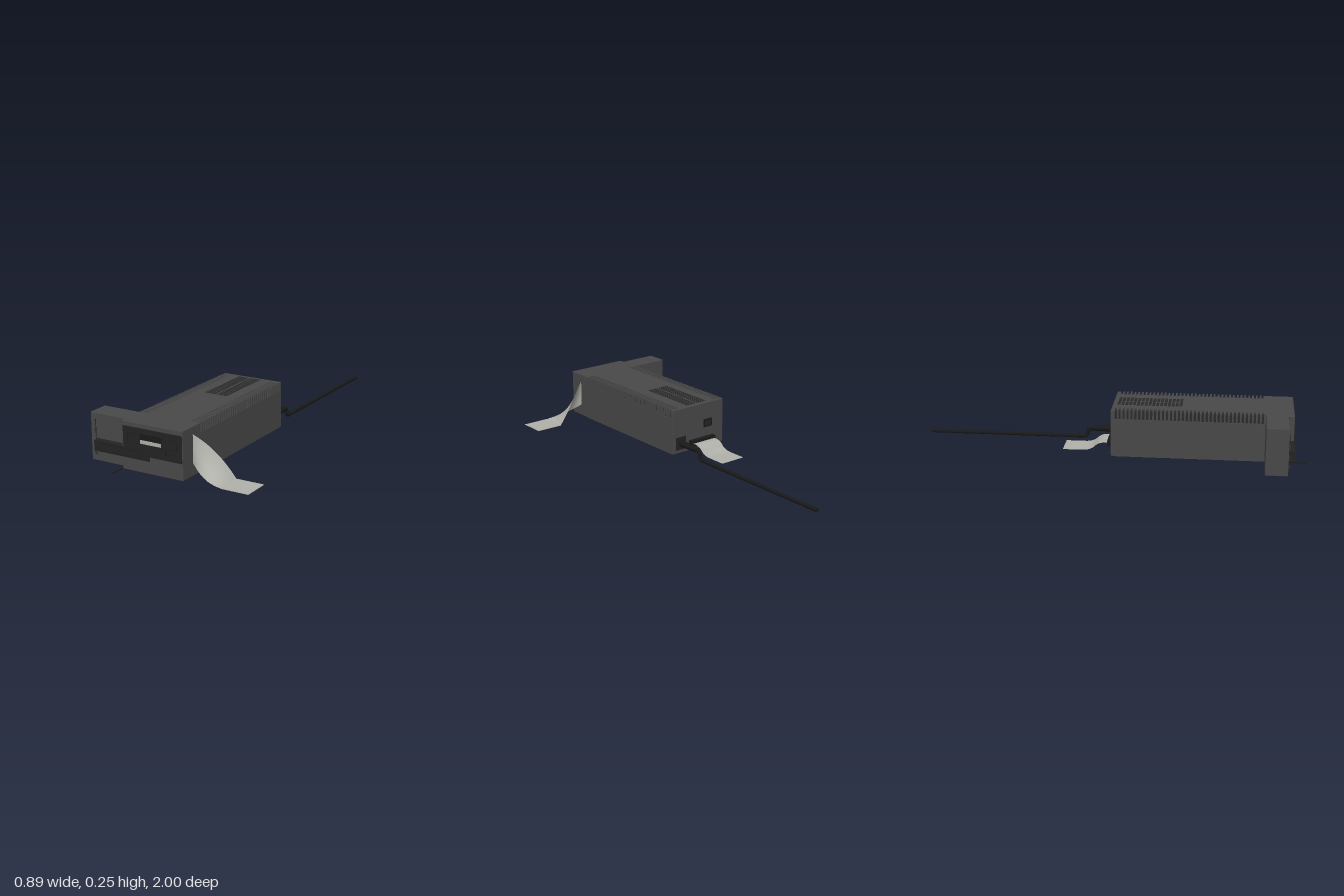
import * as THREE from 'three';
import { RoundedBoxGeometry } from 'three/addons/geometries/RoundedBoxGeometry.js';

const paint = (name, color, side = THREE.FrontSide) => {
  const m = new THREE.MeshStandardMaterial({ color, side });
  m.name = name;
  return m;
};

export function createModel() {
  const group = new THREE.Group();
  const casing = paint('charcoal casing', 0x484848);
  const dark = paint('dark panel', 0x232323);
  const black = paint('black plastic', 0x191919);
  const vent = paint('vent shadow', 0x2a2a2a);
  const grey = paint('light grey', 0xb0b0aa);
  const ribbon = paint('ribbon grey', 0xb0b0aa, THREE.DoubleSide);

  const add = (name, geometry, material) => {
    const mesh = new THREE.Mesh(geometry, material);
    mesh.name = name;
    group.add(mesh);
    return mesh;
  };
  // Box given by its low and high corners; r rounds the edges
  const box = (name, material, x0, x1, y0, y1, z0, z1, r = 0) => {
    const s = [x1 - x0, y1 - y0, z1 - z0];
    const g = r ? new RoundedBoxGeometry(...s, 2, r) : new THREE.BoxGeometry(...s);
    return add(name, g.translate((x0 + x1) / 2, (y0 + y1) / 2, (z0 + z1) / 2), material);
  };
  const extrude = (name, material, points, z0, z1) => {
    const shape = new THREE.Shape(points.map(p => new THREE.Vector2(...p)));
    const g = new THREE.ExtrudeGeometry(shape, { depth: z1 - z0, bevelEnabled: false });
    return add(name, g.translate(0, 0, z0), material);
  };

  // Casing: solid ends and a core with recessed upper corners
  const L = -0.24, R = 0.102, H = 0.247, B = 0.003, d = 0.01;
  box('frontHousing', casing, L, R, B, H, 0.78, 0.925, 0.004);
  box('rearHousing', casing, L, R, B, H, 0.004, 0.025, 0.004);
  extrude('mainHousing', casing, [[L, B], [R, B], [R, 0.2], [R - d, 0.2], [R - d, H - d],
    [0.05, H - d], [0.05, H], [-0.19, H], [-0.19, H - d], [L + d, H - d], [L + d, 0.2], [L, 0.2]], 0.018, 0.786);

  // Corner vents: dark lining with a row of ribs on each side
  const ribs = 38, pitch = 0.757 / ribs;
  for (const [edge, inner, s] of [[R, 0.05, 1], [L, -0.19, -1]]) {
    const corner = (lift, out) => {
      const p = [[inner, H - d], [edge - s * d, H - d], [edge - s * d, 0.2], [edge - s * (d - out), 0.2],
        [edge - s * (d - out), H - d + lift], [inner, H - d + lift]];
      return s > 0 ? p.reverse() : p;
    };
    extrude('cornerVentLining', vent, corner(0.002, 0.002), 0.022, 0.783);
    for (let i = 0; i < ribs; i++) {
      const z = 0.025 + (i + 0.75) * pitch;
      extrude('cornerVentRib', casing, corner(d, d), z - pitch * 0.22, z + pitch * 0.22);
    }
  }
  // Top vents in two columns
  for (const x of [-0.139, -0.07]) {
    for (let i = 0; i < 17; i++) {
      const z = 0.028 + i * 0.0198;
      box('topVentSlot', vent, x, x + 0.06, H - 0.002, H + 0.001, z, z + 0.014);
    }
  }

  // Side expansion module
  box('sideModule', casing, -0.445, L + 0.004, B, H, 0.782, 0.895, 0.004);
  box('sideModuleStrip', dark, -0.421, -0.414, 0.035, 0.212, 0.89, 0.899);
  box('sideModuleStripFace', casing, -0.4195, -0.4155, 0.037, 0.21, 0.898, 0.9);
  box('moduleSeam', black, L - 0.002, L + 0.001, 0.006, H - 0.004, 0.89, 0.8965);

  // Cartridge bar across both fronts
  box('cartridgeBar', dark, -0.405, -0.081, 0.066, 0.119, 0.89, 0.927);
  box('cartridgeSlot', black, -0.372, -0.125, 0.074, 0.109, 0.924, 0.929);
  box('cartridgeFlap', dark, -0.37, -0.127, 0.076, 0.107, 0.926, 0.93);

  // Disk drive panel
  box('drivePanel', dark, -0.233, 0.099, 0.088, 0.223, 0.92, 0.9262);
  box('driveSlotFrame', black, -0.208, 0.071, 0.146, 0.191, 0.922, 0.9275);
  box('driveSlotFace', dark, -0.206, 0.069, 0.148, 0.189, 0.924, 0.928);
  box('driveFingerRecess', black, -0.135, -0.012, 0.168, 0.197, 0.924, 0.9285);
  box('diskEdge', grey, -0.132, -0.016, 0.149, 0.167, 0.924, 0.93);
  box('driveLight', black, 0.007, 0.014, 0.113, 0.138, 0.922, 0.928);
  box('frontWire', black, -0.2435, -0.2395, 0.003, 0.007, 0.89, 1.0);

  // Sheet swept through pairs of edge points
  const sheet = (name, rows) => {
    const pos = rows.flat(2), index = [];
    const n = rows[0].length;
    for (let i = 0; i < rows.length - 1; i++) {
      for (let j = 0; j < n - 1; j++) {
        const a = i * n + j;
        index.push(a, a + 1, a + n, a + 1, a + n + 1, a + n);
      }
    }
    const g = new THREE.BufferGeometry();
    g.setAttribute('position', new THREE.Float32BufferAttribute(pos, 3));
    g.setIndex(index);
    g.computeVertexNormals();
    return add(name, g, ribbon);
  };
  // Side ribbon: leaves upright and twists a quarter turn down to the floor
  const twist = [];
  for (let i = 0; i <= 24; i++) {
    const t = i / 24, a = t * Math.PI / 2, row = [];
    for (let j = 0; j <= 8; j++) {
      const w = 0.07 * (1 - j / 4);
      row.push([0.1 + 0.195 * t, 0.003 + 0.137 * (1 - t) + w * Math.cos(a), 0.84 - w * Math.sin(a)]);
    }
    twist.push(row);
  }
  sheet('sideRibbonTwist', twist);
  box('sideRibbonEnd', grey, 0.295, 0.442, 0.001, 0.004, 0.77, 0.91);

  // Rear ribbon: drops in a curve to the floor
  const drop = new THREE.CatmullRomCurve3([[0.045, 0], [0.045, -0.05], [0.036, -0.075], [0.016, -0.1],
    [0.005, -0.13], [0.003, -0.17], [0.003, -0.255]].map(([y, z]) => new THREE.Vector3(0, y, z)));
  sheet('rearRibbon', drop.getPoints(32).map(p => [[-0.159, p.y, p.z], [-0.015, p.y, p.z]]));

  // Rear sockets
  box('rearConnector', black, -0.167, -0.006, 0.03, 0.06, -0.022, 0.01);
  box('rearSocket', black, -0.158, -0.104, 0.112, 0.155, -0.002, 0.01);
  box('rearSocketFace', dark, -0.15, -0.112, 0.119, 0.148, -0.004, 0);
  box('cablePlate', dark, 0.018, 0.084, 0.022, 0.092, 0.001, 0.008);

  // Mains cable with strain relief
  const relief = new THREE.CylinderGeometry(0.014, 0.018, 0.138, 16).rotateX(-Math.PI / 2);
  add('cableStrainRelief', relief.translate(0.048, 0.056, -0.064), black);
  const path = new THREE.CurvePath();
  const V = (y, z) => new THREE.Vector3(0.048, y, z);
  path.add(new THREE.LineCurve3(V(0.056, -0.1), V(0.056, -0.132)));
  path.add(new THREE.CubicBezierCurve3(V(0.056, -0.132), V(0.056, -0.162), V(0.01, -0.138), V(0.01, -0.172)));
  path.add(new THREE.LineCurve3(V(0.01, -0.172), V(0.01, -1)));
  add('cable', new THREE.TubeGeometry(path, 160, 0.01, 12), black);
  add('cableEnd', new THREE.CircleGeometry(0.01, 12).rotateY(Math.PI).translate(0.048, 0.01, -1), black);

  return group;
}
